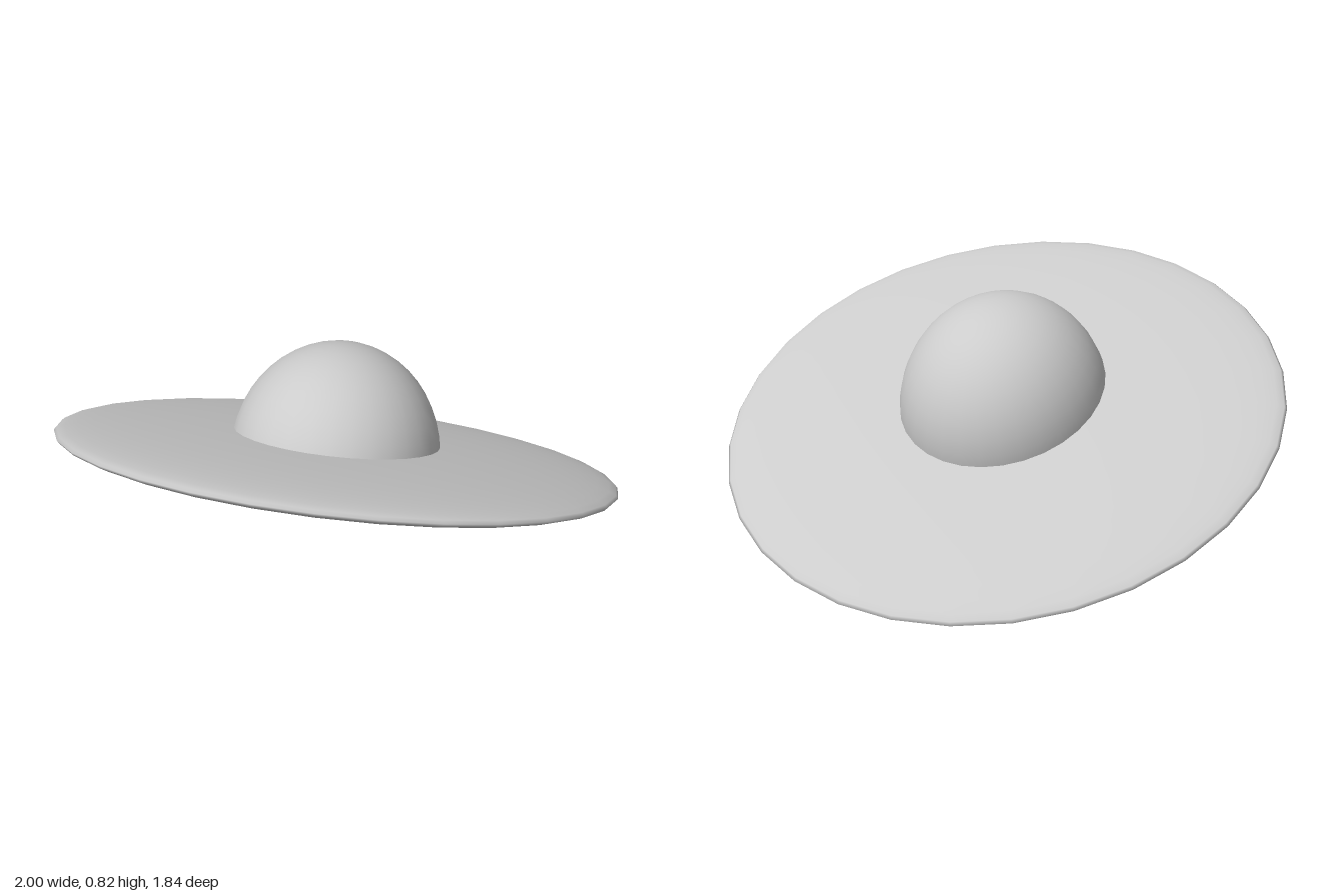
import * as THREE from 'three';

export function createModel() {
  const model = new THREE.Group();
  const material = new THREE.MeshStandardMaterial({ color: 0xcccccc, side: THREE.DoubleSide });

  // Everything tilts together, front edge raised
  const saucer = new THREE.Group();
  saucer.name = 'saucer';
  saucer.position.y = 0.403;
  saucer.rotation.x = THREE.MathUtils.degToRad(-23.2);
  model.add(saucer);

  // Thin flattened ellipsoid
  const disc = new THREE.Mesh(new THREE.SphereGeometry(1, 32, 24), material);
  disc.name = 'disc';
  disc.scale.set(1, 0.075, 1);
  saucer.add(disc);

  // Half ellipsoid, its open base buried in the disc
  const dome = new THREE.Mesh(
    new THREE.SphereGeometry(1, 32, 12, 0, Math.PI * 2, 0, Math.PI / 2), material);
  dome.name = 'dome';
  dome.scale.set(0.37, 0.403, 0.403);
  dome.position.set(0, 0.005, 0.03);
  saucer.add(dome);

  return model;
}
